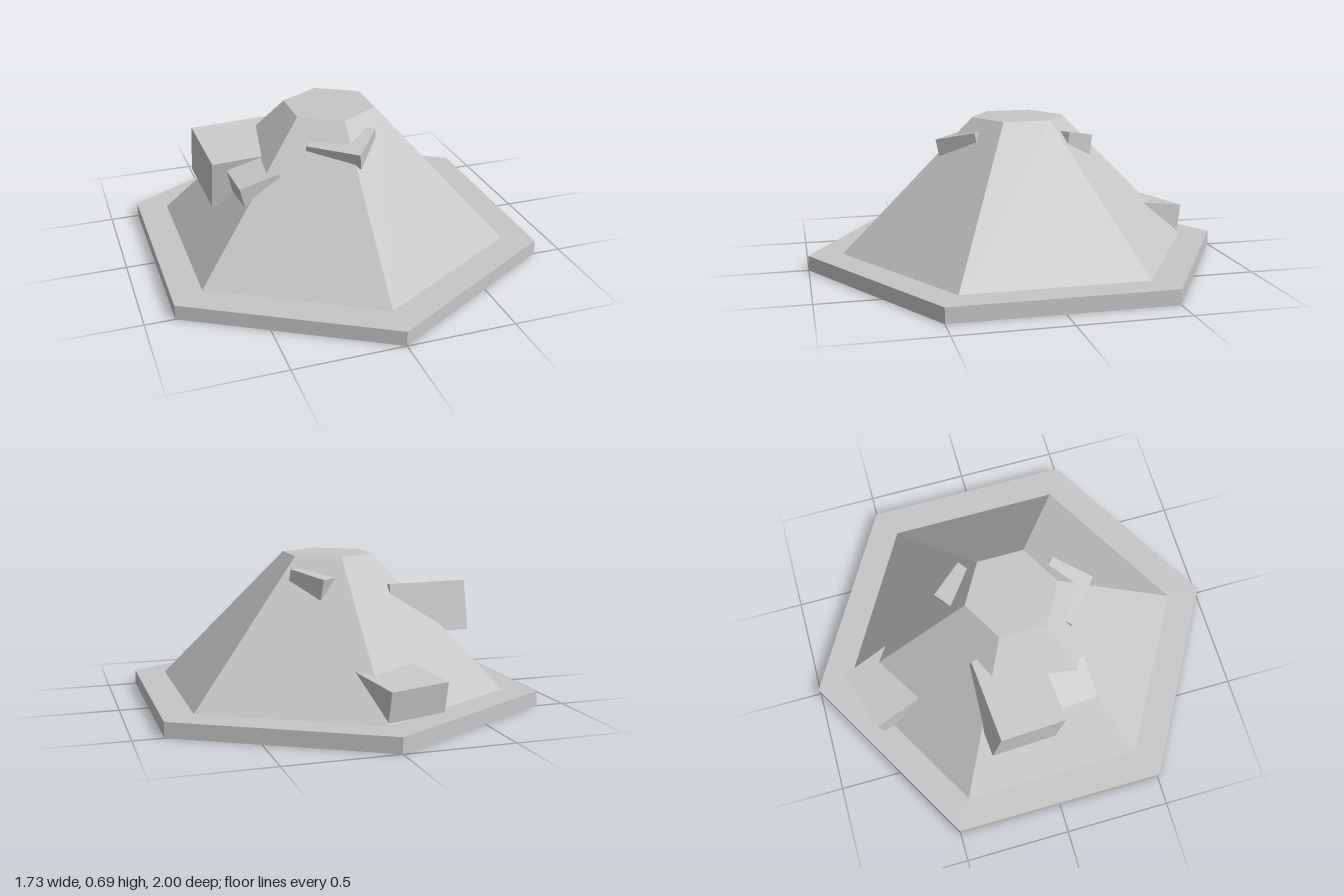
import * as THREE from 'three';

const stone = new THREE.MeshStandardMaterial({ color: 0xc6c6c6, flatShading: true });
stone.name = 'grey stone';

const vec = (p) => new THREE.Vector3(...p);

// Six-sided tapered block with corners on the z axis
function hexBlock(name, topRadius, bottomRadius, y0, y1) {
  const geo = new THREE.CylinderGeometry(topRadius, bottomRadius, y1 - y0, 6);
  const mesh = new THREE.Mesh(geo, stone);
  mesh.name = name;
  mesh.position.y = (y0 + y1) / 2;
  return mesh;
}

// Tilted box, given one top corner, its two top edges and its height
function rock(name, corner, edgeA, edgeB, height) {
  const a = vec(edgeA), b = vec(edgeB);
  const x = a.clone().normalize();
  const z = b.clone().addScaledVector(x, -b.dot(x)).normalize();
  const y = z.clone().cross(x);
  const mesh = new THREE.Mesh(new THREE.BoxGeometry(a.length(), height, b.length()), stone);
  mesh.name = name;
  mesh.quaternion.setFromRotationMatrix(new THREE.Matrix4().makeBasis(x, y, z));
  mesh.position.copy(vec(corner))
    .addScaledVector(x, a.length() / 2)
    .addScaledVector(z, b.length() / 2)
    .addScaledVector(y, -Math.sign(y.y) * height / 2);
  return mesh;
}

export function createModel() {
  const model = new THREE.Group();
  model.name = 'rockyHill';

  // Ground tile and hill
  model.add(hexBlock('baseTile', 1, 1, 0, 0.07));
  model.add(hexBlock('hill', 0.218, 0.84, 0.07, 0.695));

  // Rocks jutting out of the slopes
  model.add(rock('largeSideRock', [-0.612, 0.567, -0.22], [0.39, 0, -0.033], [0.03, -0.06, 0.31], 0.235));
  model.add(rock('smallSideRock', [-0.505, 0.45, 0.265], [0.185, 0.045, -0.01], [-0.005, 0.015, -0.2], 0.13));
  model.add(rock('frontRock', [0.012, 0.597, 0.395], [-0.2, 0.005, -0.162], [0.13, 0.045, -0.16], 0.08));
  model.add(rock('upperBackRock', [0.12, 0.61, -0.335], [0.112, 0.035, 0.145], [-0.13, 0, 0.1], 0.095));
  model.add(rock('lowerBackRock', [-0.01, 0.213, -0.85], [-0.295, 0, 0.1], [0.09, 0.045, 0.26], 0.138));

  return model;
}
